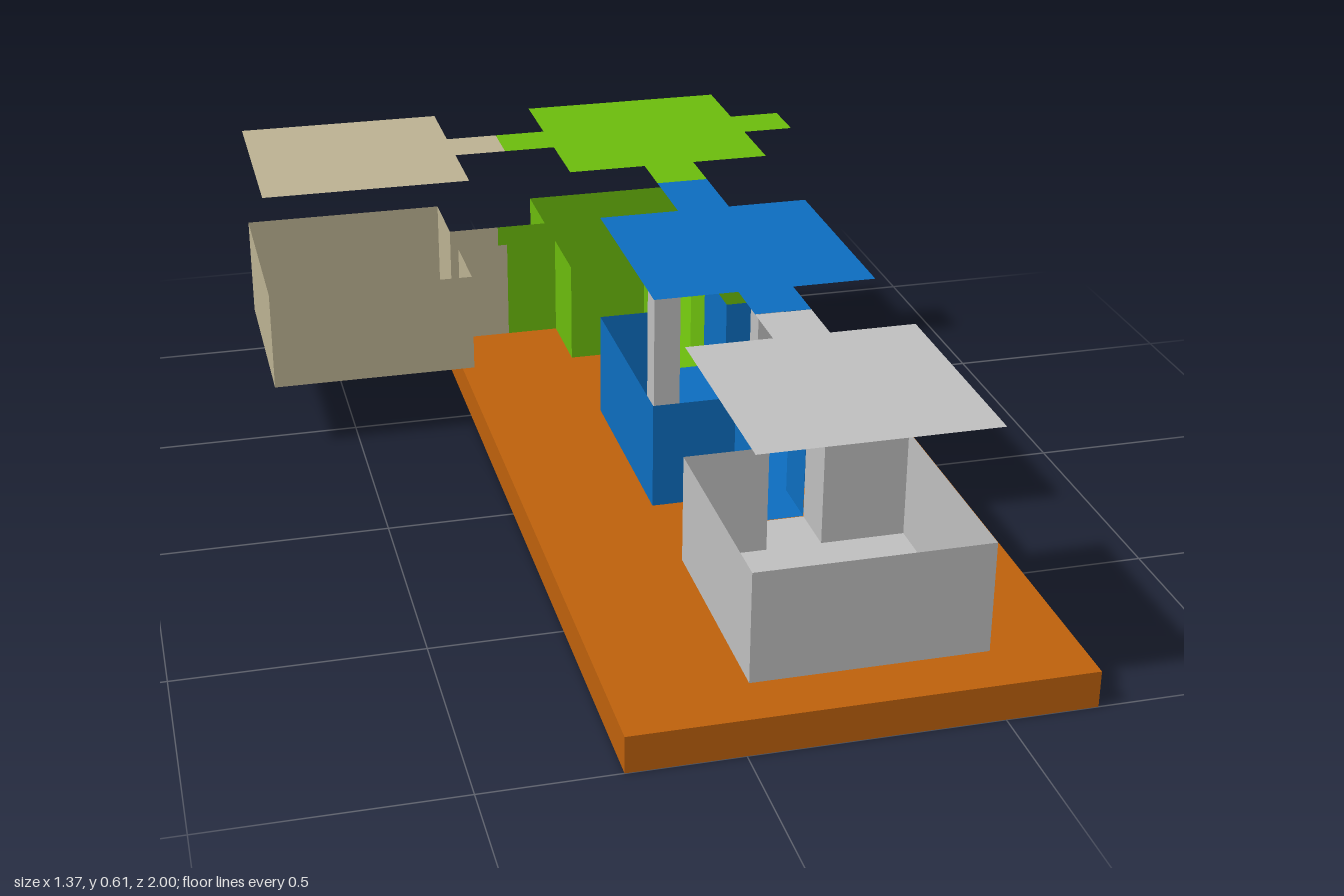
import * as THREE from 'three';
import { mergeGeometries } from 'three/addons/utils/BufferGeometryUtils.js';

const FLOOR = 0.155, WALL_TOP = 0.38, ROOF = 0.61;
const SIZE = 0.456, DOOR = 0.113;

function material(name, color, side = THREE.FrontSide) {
  const m = new THREE.MeshStandardMaterial({ color, side });
  m.name = name;
  return m;
}

// Square room outline, with a centred passage on each side that has a depth.
// Sides run front, right, back, left. A passage's outer end stays open.
function outline(cx, cz, depths) {
  const points = [], open = new Set();
  const h = SIZE / 2, d = DOOR / 2;
  depths.forEach((depth, side) => {
    const a = side * Math.PI / 2, c = Math.cos(a), s = Math.sin(a);
    const add = (along, out) => points.push([cx + along * c + out * s, cz - along * s + out * c]);
    add(-h, h);
    if (depth) {
      add(-d, h);
      open.add(points.length);
      add(-d, h + depth);
      add(d, h + depth);
      add(d, h);
    }
  });
  return { points, open };
}

// Thin upright panels along the closed edges of the outline
function wallGeometry({ points, open }) {
  const height = WALL_TOP - FLOOR, panels = [];
  points.forEach(([x0, z0], i) => {
    if (open.has(i)) return;
    const [x1, z1] = points[(i + 1) % points.length];
    const panel = new THREE.PlaneGeometry(Math.hypot(x1 - x0, z1 - z0), height);
    panel.rotateY(Math.atan2(z0 - z1, x1 - x0));
    panel.translate((x0 + x1) / 2, FLOOR + height / 2, (z0 + z1) / 2);
    panels.push(panel);
  });
  return mergeGeometries(panels);
}

function plateGeometry({ points }, y) {
  const shape = new THREE.Shape(points.map(([x, z]) => new THREE.Vector2(x, -z)));
  return new THREE.ShapeGeometry(shape).rotateX(-Math.PI / 2).translate(0, y, 0);
}

export function createModel() {
  const model = new THREE.Group();
  model.name = 'explodedRooms';
  const add = (parent, name, geometry, mat) => {
    const mesh = new THREE.Mesh(geometry, mat);
    mesh.name = name;
    parent.add(mesh);
    return mesh;
  };

  const orange = material('orange', 0xbf620c);
  const silver = material('silver', 0xc0c0c0, THREE.DoubleSide);
  const blue = material('blue', 0x0d6ec0, THREE.DoubleSide);
  const green = material('green', 0x6cbd0d, THREE.DoubleSide);
  const tan = material('tan', 0xbdb393, THREE.DoubleSide);

  // Ground slab
  add(model, 'baseSlab', new THREE.BoxGeometry(0.912, 0.077, 2), orange).position.set(0.228, 0.0385, 0);

  // Open-topped rooms, each with its roof lifted above: passage depths front, right, back, left
  const rooms = [
    ['frontRoom', 0.228, 0.772, [0, 0, 0.114, 0], silver],
    ['middleRoom', 0.228, 0.086, [0.114, 0, 0.175, 0], blue],
    ['backRoom', 0.228, -0.659, [0.114, 0.114, 0, 0.114], green],
    ['sideRoom', -0.457, -0.659, [0, 0.115, 0, 0], tan],
  ];
  for (const [name, cx, cz, depths, mat] of rooms) {
    const room = new THREE.Group();
    room.name = name;
    const plan = outline(cx, cz, depths);
    add(room, 'floor', plateGeometry(plan, FLOOR), mat);
    add(room, 'walls', wallGeometry(plan), mat);
    add(room, 'roof', plateGeometry(plan, ROOF), mat);
    model.add(room);
  }

  // Two square pillars standing in the middle room
  const pillarHeight = ROOF - FLOOR - 0.002;
  for (const x of [0.112, 0.342]) {
    add(model, 'pillar', new THREE.BoxGeometry(0.057, pillarHeight, 0.057), silver)
      .position.set(x, FLOOR + pillarHeight / 2, -0.028);
  }
  return model;
}
